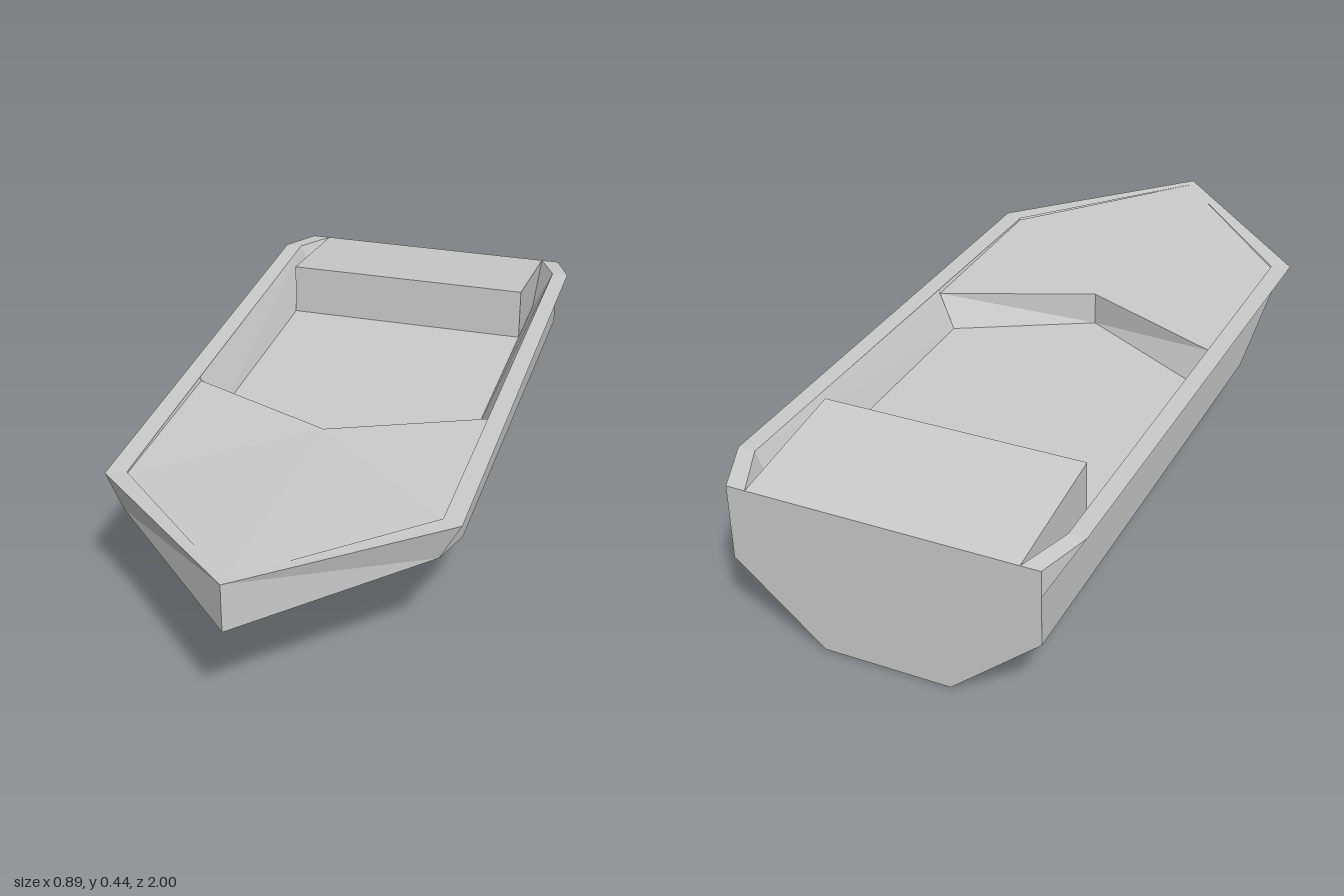
import * as THREE from 'three';

const material = new THREE.MeshStandardMaterial({ color: 0xcccccc, flatShading: true, side: THREE.DoubleSide });

// Skin between two rows of points on the +x half, mirrored to the other half.
function skin(name, a, b) {
  const pos = [];
  const tri = (p, q, r) => {
    if ([[p, q], [q, r], [r, p]].some(([s, t]) => s.every((v, i) => v === t[i]))) return;
    pos.push(...p, ...q, ...r);
    for (const [x, y, z] of [p, r, q]) pos.push(-x, y, z);
  };
  for (let i = 0; i < a.length - 1; i++) {
    tri(a[i], b[i], b[i + 1]);
    tri(a[i], b[i + 1], a[i + 1]);
  }
  const geometry = new THREE.BufferGeometry();
  geometry.setAttribute('position', new THREE.Float32BufferAttribute(pos, 3));
  geometry.computeVertexNormals();
  const mesh = new THREE.Mesh(geometry, material);
  mesh.name = name;
  return mesh;
}

const toCentre = (row) => row.map(([, y, z]) => [0, y, z]);

export function createModel() {
  const boat = new THREE.Group();
  boat.name = 'boat';

  // Hull lines, each from stern to bow
  const keel = [[0.165, 0, -1], [0.165, 0, -0.15], [0.02, 0, 0.4], [0, 0, 0.4]];
  const chine = [[0.395, 0.2, -1], [0.395, 0.2, 0.33], [0.02, 0.2, 0.7], [0, 0.2, 0.7]];
  const waist = [[0.395, 0.33, -1], [0.395, 0.305, 0.6], [0.02, 0.29, 0.94], [0, 0.29, 0.94]];
  const flareFoot = [[0.395, 0.33, -1], [0.395, 0.33, -0.83], [0.395, 0.305, 0.6], [0, 0.29, 1]];
  const rimOuter = [[0.395, 0.4, -1], [0.445, 0.415, -0.87], [0.445, 0.395, 0.59], [0, 0.415, 1]];
  const rimInner = [[0.345, 0.4, -1], [0.4, 0.415, -0.87], [0.395, 0.395, 0.57], [0, 0.413, 0.97]];

  // Hull
  boat.add(skin('hullBottom', toCentre(keel), keel));
  boat.add(skin('lowerHull', keel, chine));
  boat.add(skin('hullSides', chine, waist));
  boat.add(skin('flaredSides', flareFoot, rimOuter));
  boat.add(skin('bowUnderside', waist.slice(1), [flareFoot[2], flareFoot[3], flareFoot[3]]));
  const transom = [keel[0], chine[0], rimOuter[0]];
  boat.add(skin('transom', transom, toCentre(transom)));
  boat.add(skin('rim', rimOuter, rimInner));

  // Foredeck, with a small lip up to the rim
  const deckEdge = [[0.395, 0.39, 0.05], [0.395, 0.39, 0.57], [0, 0.413, 0.97]];
  const deckTip = [0, 0.39, 0.22];
  const rimAtDeck = [0.4, 0.402, 0.05];
  boat.add(skin('foredeck', deckEdge, [deckTip, deckTip, deckTip]));
  boat.add(skin('deckLip', [rimAtDeck, rimInner[2]], deckEdge.slice(0, 2)));

  // Sunken cockpit
  const floorEdge = [[0.345, 0.3, -1], [0.345, 0.3, -0.87], [0.345, 0.3, 0.03], [0, 0.3, 0.22]];
  const floorCentre = toCentre(floorEdge);
  boat.add(skin('cockpitFloor', floorEdge, floorCentre));
  boat.add(skin('cockpitSides', [rimInner[0], rimInner[1], rimAtDeck], floorEdge.slice(0, 3)));
  boat.add(skin('cockpitFront', [deckEdge[0], deckTip], floorEdge.slice(2)));

  // Wedge-shaped stern cover
  const cover = [[0.345, 0.3, -0.64], [0.345, 0.445, -0.64], [0.345, 0.4, -1]];
  boat.add(skin('sternCover', cover, toCentre(cover)));
  boat.add(skin('sternCoverSides', [floorEdge[0], cover[0]], [cover[2], cover[1]]));

  return boat;
}
